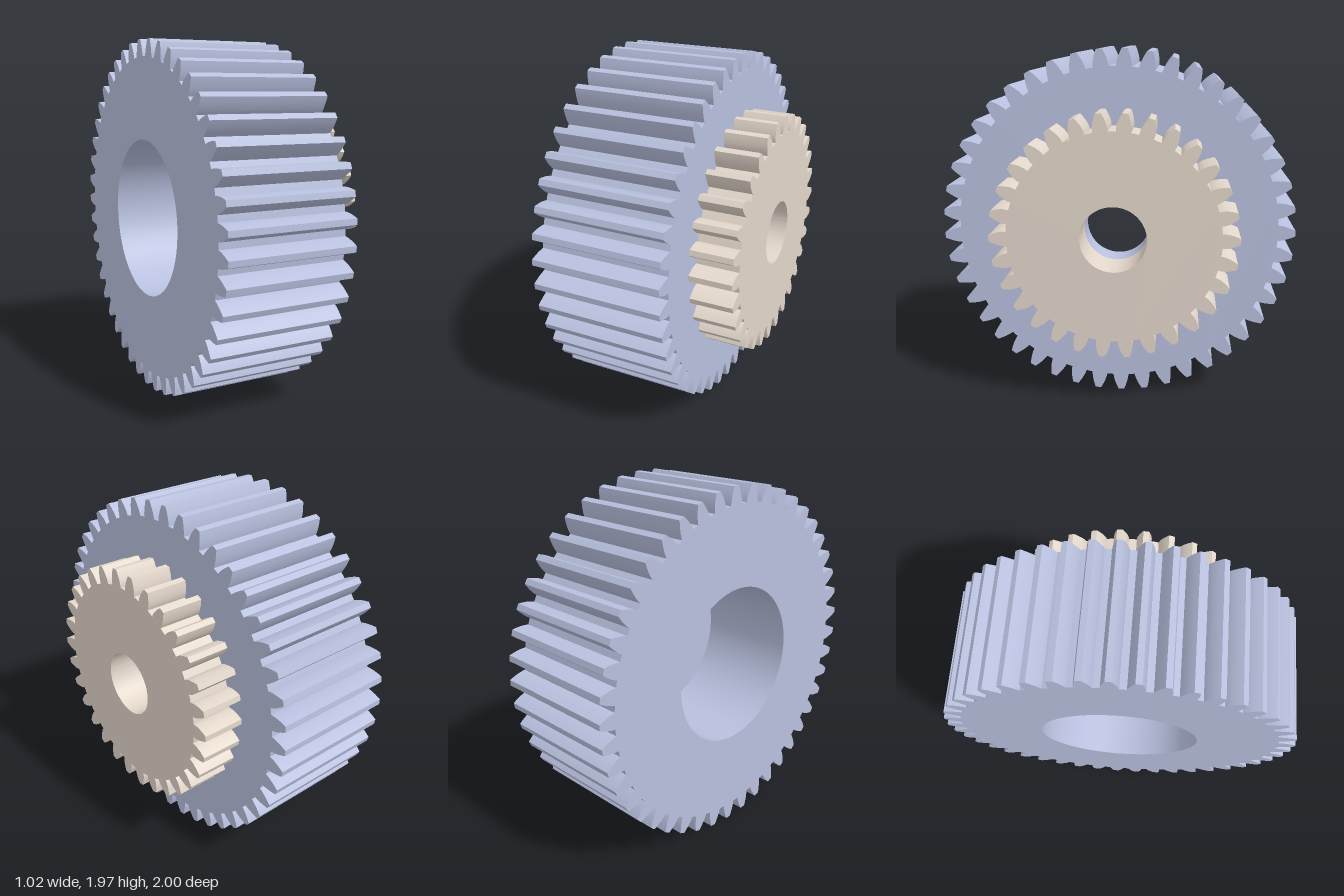
import * as THREE from 'three';
import { toCreasedNormals } from 'three/addons/utils/BufferGeometryUtils.js';

const MODULE = 0.985 / 47; // shared tooth module
const PRESSURE = THREE.MathUtils.degToRad(20);
const inv = (a) => Math.tan(a) - a;

function addHole(shape, radius) {
  const hole = new THREE.Path();
  hole.absarc(0, 0, radius, 0, Math.PI * 2, true);
  shape.holes.push(hole);
  return shape;
}

// Involute spur gear outline with a central bore
function gearShape(teeth, phase, bore) {
  const pitch = (teeth * MODULE) / 2 * 2;
  const base = pitch * Math.cos(PRESSURE);
  const tip = pitch + 2 * MODULE;
  const root = pitch - 2.5 * MODULE;
  const halfAngle = (r) =>
    Math.PI / (2 * teeth) + inv(PRESSURE) - inv(Math.acos(Math.min(1, base / r)));
  const steps = 6;
  const points = [];
  const add = (r, a) => points.push(new THREE.Vector2(r * Math.cos(a), r * Math.sin(a)));
  for (let i = 0; i < teeth; i++) {
    const mid = phase + (i / teeth) * Math.PI * 2;
    for (let k = 0; k <= steps; k++) {
      const r = root + ((tip - root) * k) / steps;
      add(r, mid - halfAngle(r));
    }
    add(tip, mid);
    for (let k = steps; k >= 0; k--) {
      const r = root + ((tip - root) * k) / steps;
      add(r, mid + halfAngle(r));
    }
    add(root, mid + Math.PI / teeth); // middle of the gap
  }
  return addHole(new THREE.Shape(points), bore);
}

function part(name, shape, start, end, color) {
  const solid = new THREE.ExtrudeGeometry(shape, {
    depth: end - start, bevelEnabled: false, curveSegments: 72,
  });
  solid.translate(0, 0, start);
  const mesh = new THREE.Mesh(
    toCreasedNormals(solid, 0.4),
    new THREE.MeshStandardMaterial({ color })
  );
  mesh.name = name;
  return mesh;
}

export function createModel() {
  const blue = 0xb8c0de;
  const beige = 0xe3d7cb;
  const deg = THREE.MathUtils.degToRad;
  const group = new THREE.Group();
  group.name = 'doubleGear';

  // Parts are stacked along the shaft axis, from the wide gear's open end
  const wideEnd = 0.715;
  const total = 0.953;
  const pocketDepth = 0.57;
  const pocketRadius = 0.44;
  const boreRadius = 0.18;

  const webShape = new THREE.Shape();
  webShape.absarc(0, 0, pocketRadius, 0, Math.PI * 2, false);
  addHole(webShape, boreRadius);

  const stack = new THREE.Group();
  stack.name = 'gearStack';
  stack.add(
    part('wideGear', gearShape(45, deg(-0.5), pocketRadius), 0, wideEnd, blue),
    part('pocketFloor', webShape, pocketDepth, wideEnd, blue),
    part('smallGear', gearShape(30, deg(0.5), boreRadius), wideEnd, total, beige)
  );

  // Shaft runs along x with a slight turn
  stack.rotation.y = Math.PI / 2 - 0.041;
  stack.position.set(-0.47, 0.985, -0.015);
  group.add(stack);
  return group;
}
